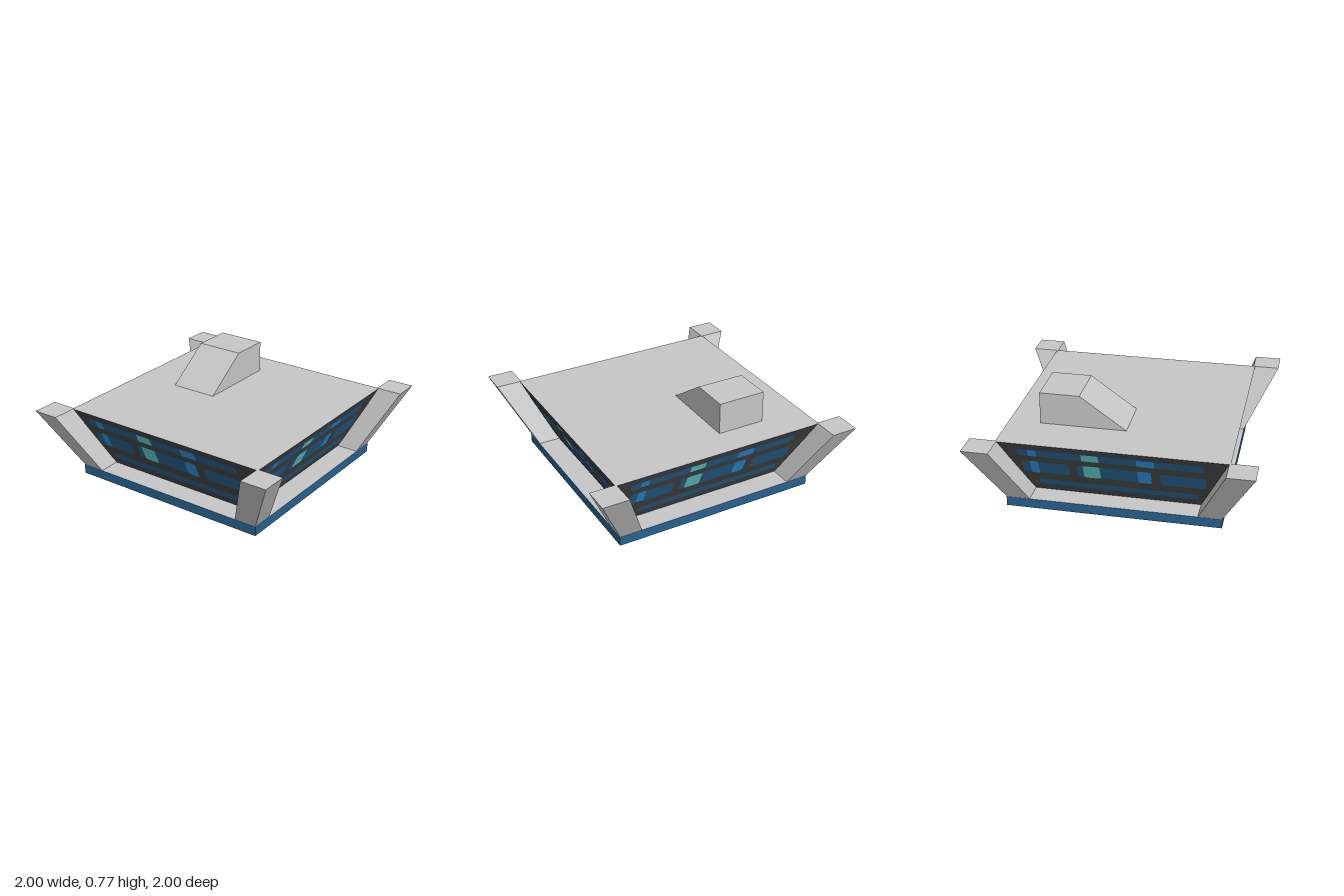
import * as THREE from 'three';

const mat = (name, color) => {
  const m = new THREE.MeshStandardMaterial({ color });
  m.name = name;
  return m;
};

export function createModel() {
  const grey = mat('light grey', 0xc6c6c6);
  const slate = mat('dark slate', 0x42444a);
  const brown = mat('dark brown', 0x474640);
  const blue = mat('deep blue', 0x26628f);
  const bright = mat('bright blue', 0x2b93e0);
  const teal = mat('teal', 0x62d2d2);

  const model = new THREE.Group();
  model.name = 'landingPlatform';
  const add = (parent, name, geometry, material) => {
    const mesh = new THREE.Mesh(geometry, material);
    mesh.name = name;
    parent.add(mesh);
    return mesh;
  };

  const Y0 = 0.07, Y1 = 0.53, BOTTOM = 0.605, TOP = 0.815;

  // Base slab: blue edges, grey above and below
  add(model, 'baseSlab', new THREE.BoxGeometry(1.54, Y0, 1.54),
    [blue, blue, grey, grey, blue, blue]).position.y = Y0 / 2;

  // Flared body with a grey deck on top
  const body = new THREE.CylinderGeometry(TOP * Math.SQRT2, BOTTOM * Math.SQRT2, Y1 - Y0, 4)
    .toNonIndexed();
  body.rotateY(Math.PI / 4);
  body.computeVertexNormals();
  add(model, 'body', body, [slate, grey, slate]).position.y = (Y0 + Y1) / 2;

  // Leaning corner posts: a box whose ends are moved to the foot and head squares
  for (const sx of [-1, 1]) for (const sz of [-1, 1]) {
    const g = new THREE.BoxGeometry(1, 1, 1);
    const p = g.attributes.position;
    for (let i = 0; i < p.count; i++) {
      const high = p.getY(i) > 0;
      const [inner, outer] = high ? [0.805, 1.0] : [0.6, 0.768];
      p.setXYZ(i,
        sx * (p.getX(i) * sx > 0 ? outer : inner),
        high ? Y1 + 0.003 : Y0,
        sz * (p.getZ(i) * sz > 0 ? outer : inner));
    }
    g.computeVertexNormals();
    add(model, 'cornerPost', g, grey);
  }

  // Wedge block on the deck, ramp towards the front
  const side = new THREE.Shape([[-0.04, 0], [0.295, 0.237], [0.585, 0.237], [0.585, 0]]
    .map(([z, y]) => new THREE.Vector2(z, y)));
  const wedge = new THREE.ExtrudeGeometry(side, { depth: 0.36, bevelEnabled: false });
  wedge.rotateY(Math.PI / 2); // profile runs towards the back
  add(model, 'rampBlock', wedge, grey).position.set(-0.48, Y1, 0);

  // Painted bands, given as x range and height range on a wall
  const tilt = Math.atan2(TOP - BOTTOM, Y1 - Y0);
  const up = y => (y - Y0) / Math.cos(tilt);
  const band = (x0, x1, ya, yb, r) => {
    const y0 = up(ya), y1 = up(yb), s = new THREE.Shape();
    s.moveTo(x0 + r, y0);
    s.lineTo(x1 - r, y0);
    s.quadraticCurveTo(x1, y0, x1, y0 + r);
    s.lineTo(x1, y1 - r);
    s.quadraticCurveTo(x1, y1, x1 - r, y1);
    s.lineTo(x0 + r, y1);
    s.quadraticCurveTo(x0, y1, x0, y1 - r);
    s.lineTo(x0, y0 + r);
    s.quadraticCurveTo(x0, y0, x0 + r, y0);
    return new THREE.ShapeGeometry(s, 5);
  };
  const stripes = [
    [-0.69, 0.62, 0.42, 0.483, 0.03],
    [-0.665, -0.33, 0.25, 0.365, 0.02],
    [-0.275, 0.245, 0.25, 0.37, 0.02],
    [0.31, 0.63, 0.25, 0.36, 0.03],
    [-0.57, 0.575, 0.13, 0.183, 0.025],
  ];
  const lights = [
    [bright, -0.61, -0.55], [teal, -0.23, -0.11], [bright, 0.155, 0.28],
  ];

  for (let i = 0; i < 4; i++) {
    const turn = new THREE.Group();
    turn.name = 'wall';
    turn.rotation.y = i * Math.PI / 2;
    model.add(turn);
    const face = new THREE.Group();
    face.name = 'wallPaint';
    face.position.set(0, Y0, BOTTOM);
    face.rotation.x = tilt;
    turn.add(face);

    // Brown middle of the wall, following its flare
    const half = y => BOTTOM + (TOP - BOTTOM) * (y - Y0) / (Y1 - Y0);
    const middle = new THREE.Shape([[-1, 0.11], [1, 0.11], [1, 0.42], [-1, 0.42]]
      .map(([s, y]) => new THREE.Vector2(s * half(y), up(y))));
    add(face, 'wallMiddle', new THREE.ShapeGeometry(middle), brown).position.z = 0.002;

    const shift = i % 2 ? 0.015 : 0;
    for (const s of stripes) add(face, 'stripe', band(...s), blue).position.set(shift, 0, 0.004);
    for (const [m, x0, x1] of lights) {
      add(face, 'upperLight', band(x0, x1, 0.42, 0.484, 0.005), m).position.set(shift, 0, 0.006);
      add(face, 'lowerLight', band(x0, Math.min(x1, 0.25), 0.25, 0.37, 0.015), m)
        .position.set(shift, 0, 0.006);
    }
  }
  return model;
}
